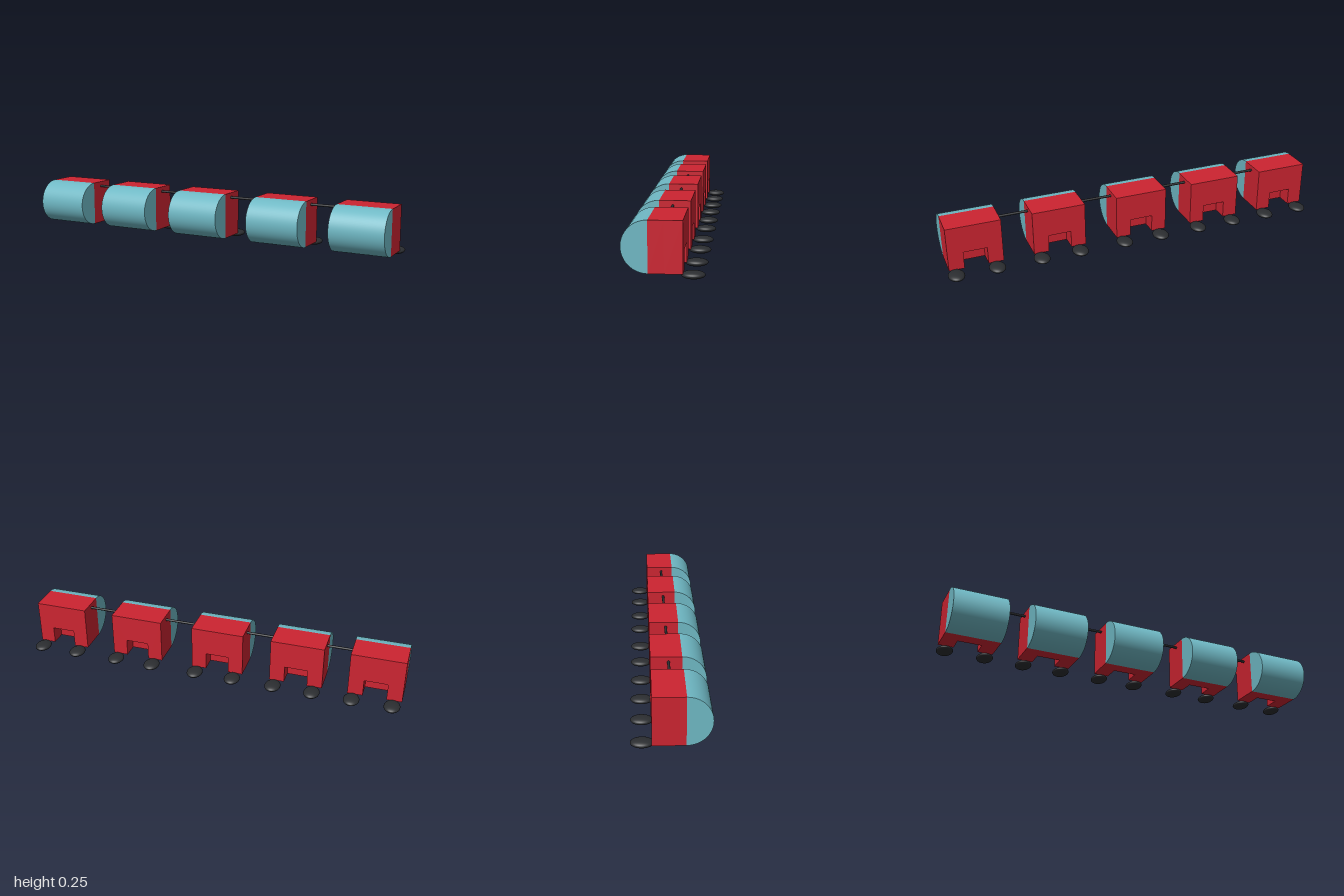
import * as THREE from 'three';

const red = new THREE.MeshStandardMaterial({ color: 0xcc2431 });
const teal = new THREE.MeshStandardMaterial({ color: 0x6fb8c4 });
const black = new THREE.MeshStandardMaterial({ color: 0x2b2d30 });

const WIDTH = 0.276, BOTTOM = 0.024, TOP = 0.255;
const BACK = -0.085, JOIN = 0.064, NOTCH_DEPTH = 0.08;
const CAR_CENTERS = [-0.862, -0.455, -0.033, 0.414, 0.847];

function part(name, geometry, material, x = 0, y = 0, z = 0) {
  const mesh = new THREE.Mesh(geometry, material);
  mesh.name = name;
  mesh.position.set(x, y, z);
  return mesh;
}

// Rear half of the block: a rectangle with a notch in its lower edge
function notchedGeometry() {
  const h = WIDTH / 2, n = 0.06, notchTop = BOTTOM + 0.09;
  const shape = new THREE.Shape([
    [-h, BOTTOM], [-n, BOTTOM], [-n, notchTop], [n, notchTop],
    [n, BOTTOM], [h, BOTTOM], [h, TOP], [-h, TOP],
  ].map(([x, y]) => new THREE.Vector2(x, y)));
  return new THREE.ExtrudeGeometry(shape, { depth: NOTCH_DEPTH, bevelEnabled: false });
}

function createCar(x) {
  const car = new THREE.Group();
  car.name = 'car';
  car.position.x = x;
  const height = TOP - BOTTOM, midY = (TOP + BOTTOM) / 2;

  // Red block, solid at the front and notched at the rear
  const notchEnd = BACK + NOTCH_DEPTH, solidDepth = JOIN - notchEnd;
  car.add(part('rearBlock', notchedGeometry(), red, 0, 0, BACK));
  car.add(part('frontBlock', new THREE.BoxGeometry(WIDTH, height, solidDepth), red,
    0, midY, notchEnd + solidDepth / 2));

  // Rounded front: half a cylinder lying along x
  const drum = new THREE.CylinderGeometry(height / 2, height / 2, WIDTH, 48, 1, false, -Math.PI / 2, Math.PI);
  drum.rotateZ(Math.PI / 2);
  car.add(part('roundedFront', drum, teal, 0, midY, JOIN));

  // Flattened oval feet behind the block
  for (const footX of [-0.094, 0.11]) {
    const foot = new THREE.SphereGeometry(1, 32, 20).scale(0.041, 0.0175, 0.052);
    car.add(part('foot', foot, black, footX, 0.0175, -0.127));
  }
  return car;
}

export function createModel() {
  const model = new THREE.Group();
  model.name = 'carRow';
  CAR_CENTERS.forEach((x, i) => {
    model.add(createCar(x));
    if (i === 0) return;
    // Thin rod joining this car to the previous one
    const previous = CAR_CENTERS[i - 1];
    const rod = new THREE.CylinderGeometry(0.0065, 0.0065, x - previous - WIDTH + 0.04, 16);
    rod.rotateZ(Math.PI / 2);
    model.add(part('couplingRod', rod, black, (x + previous) / 2, 0.23, 0));
  });
  return model;
}
